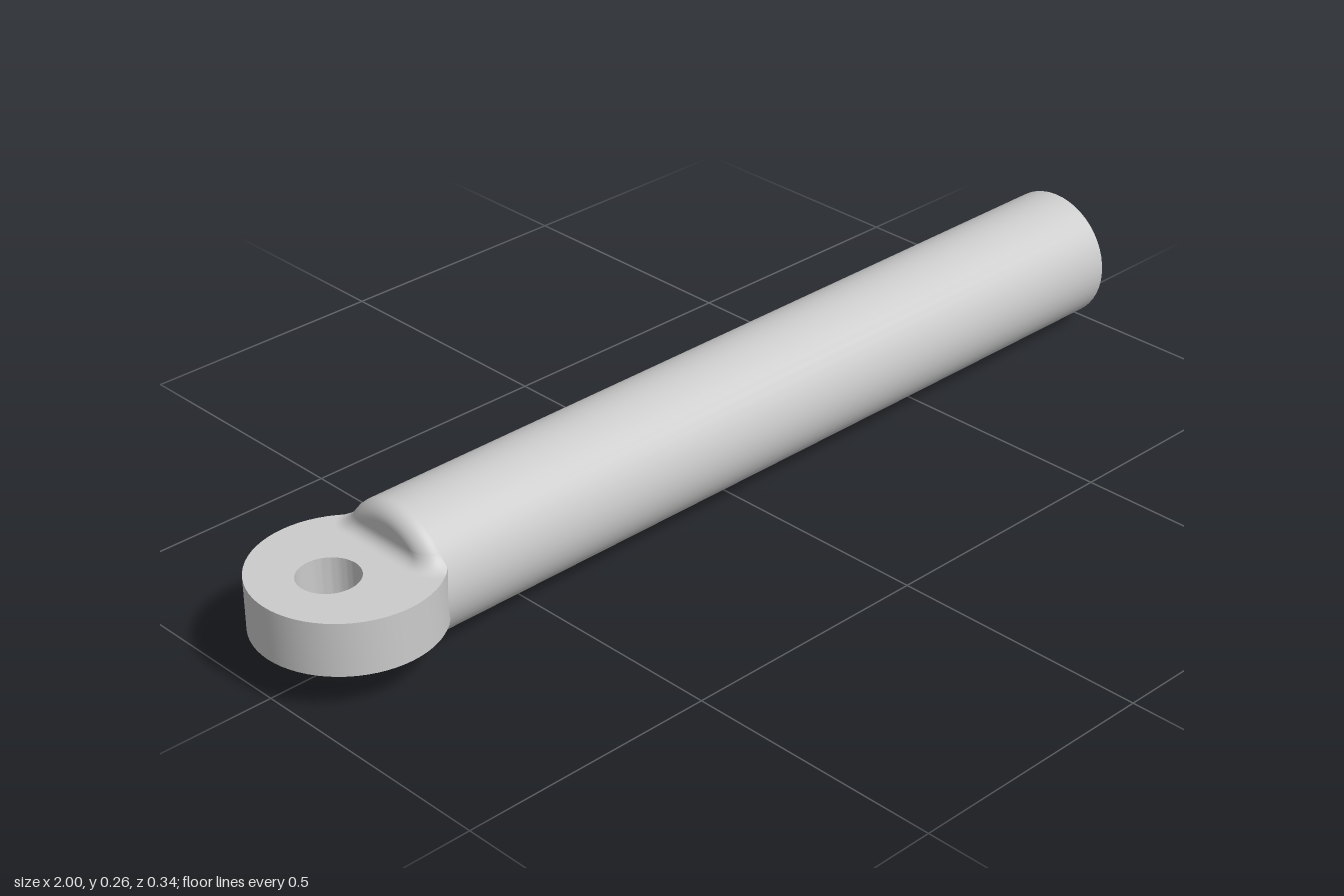
import * as THREE from 'three';
import { toCreasedNormals } from 'three/addons/utils/BufferGeometryUtils.js';

const R = 0.128, END = -0.745, ROUND = 0.03; // rod radius, eye-side end, end rounding
const EYE_X = -0.831, EYE_R = 0.169, EYE_H = 0.102; // eye disc

export function createModel() {
  const group = new THREE.Group();
  const material = new THREE.MeshStandardMaterial({ color: 0xcccccc });
  const doubleSided = new THREE.MeshStandardMaterial({ color: 0xcccccc, side: THREE.DoubleSide });

  const add = (name, geometry, mat = material) => {
    const mesh = new THREE.Mesh(geometry, mat);
    mesh.name = name;
    mesh.position.y = R;
    group.add(mesh);
  };
  // Turned part along x from [radius, x] pairs
  const turned = (name, pairs) => add(name,
    new THREE.LatheGeometry(pairs.map(([r, x]) => new THREE.Vector2(r, x)), 48).rotateZ(-Math.PI / 2));

  // Rod with a rounded end at the eye and a chamfer at the free end
  const profile = [[0, END]];
  for (let i = 0; i <= 8; i++) {
    const a = (i / 8) * Math.PI / 2;
    profile.push([R - ROUND + ROUND * Math.sin(a), END + ROUND * (1 - Math.cos(a))]);
  }
  turned('rod', [...profile, [R, 0.975]]);
  turned('rodChamfer', [[R, 0.975], [0.102, 1]]);
  turned('rodEndFace', [[0.102, 1], [0, 1]]);

  // Flat eye with an off-centre hole
  const disc = new THREE.Shape().absarc(EYE_X, 0, EYE_R, 0, Math.PI * 2);
  disc.holes.push(new THREE.Path().absarc(-0.866, 0, 0.056, 0, Math.PI * 2, true));
  const eye = new THREE.ExtrudeGeometry(disc, { depth: EYE_H, bevelEnabled: false, curveSegments: 32 });
  eye.translate(0, 0, -EYE_H / 2).rotateX(-Math.PI / 2);
  add('eye', toCreasedNormals(eye, 0.6));

  // Concave fillets where the rod end meets the eye
  const filletTop = filletGeometry(0.022);
  add('upperFillet', filletTop, doubleSided);
  add('lowerFillet', filletTop.clone().rotateX(Math.PI), doubleSided);
  return group;
}

// Point of the rod end at height y, u running across it from -1 to 1
function rodEnd(y, u) {
  const z = Math.sqrt(R * R - y * y) * Math.sin(u * Math.PI / 2);
  const d = Math.max(0, Math.hypot(y, z) - (R - ROUND));
  return new THREE.Vector2(END + ROUND - Math.sqrt(Math.max(0, ROUND * ROUND - d * d)), z);
}

function filletGeometry(radius) {
  const across = 40, rows = 8, positions = [], index = [];
  for (let i = 0; i <= across; i++) {
    const u = (i / across) * 2 - 1;
    for (let j = 0; j <= rows; j++) {
      const a = (j / rows) * Math.PI / 2;
      const y = EYE_H / 2 + radius * (1 - Math.cos(a));
      const p = rodEnd(y, u);
      const t = rodEnd(y, Math.min(1, u + 0.02)).sub(rodEnd(y, Math.max(-1, u - 0.02))).normalize();
      p.addScaledVector(new THREE.Vector2(-t.y, t.x), radius * (1 - Math.sin(a)));
      // Keep the fillet on the eye
      const k = Math.min(1, EYE_R / Math.hypot(p.x - EYE_X, p.y));
      positions.push(EYE_X + (p.x - EYE_X) * k, y, p.y * k);
      if (i < across && j < rows) {
        const q = i * (rows + 1) + j, n = q + rows + 1;
        index.push(q, n, q + 1, n, n + 1, q + 1);
      }
    }
  }
  const geometry = new THREE.BufferGeometry();
  geometry.setAttribute('position', new THREE.Float32BufferAttribute(positions, 3));
  geometry.setIndex(index);
  geometry.computeVertexNormals();
  return geometry;
}
